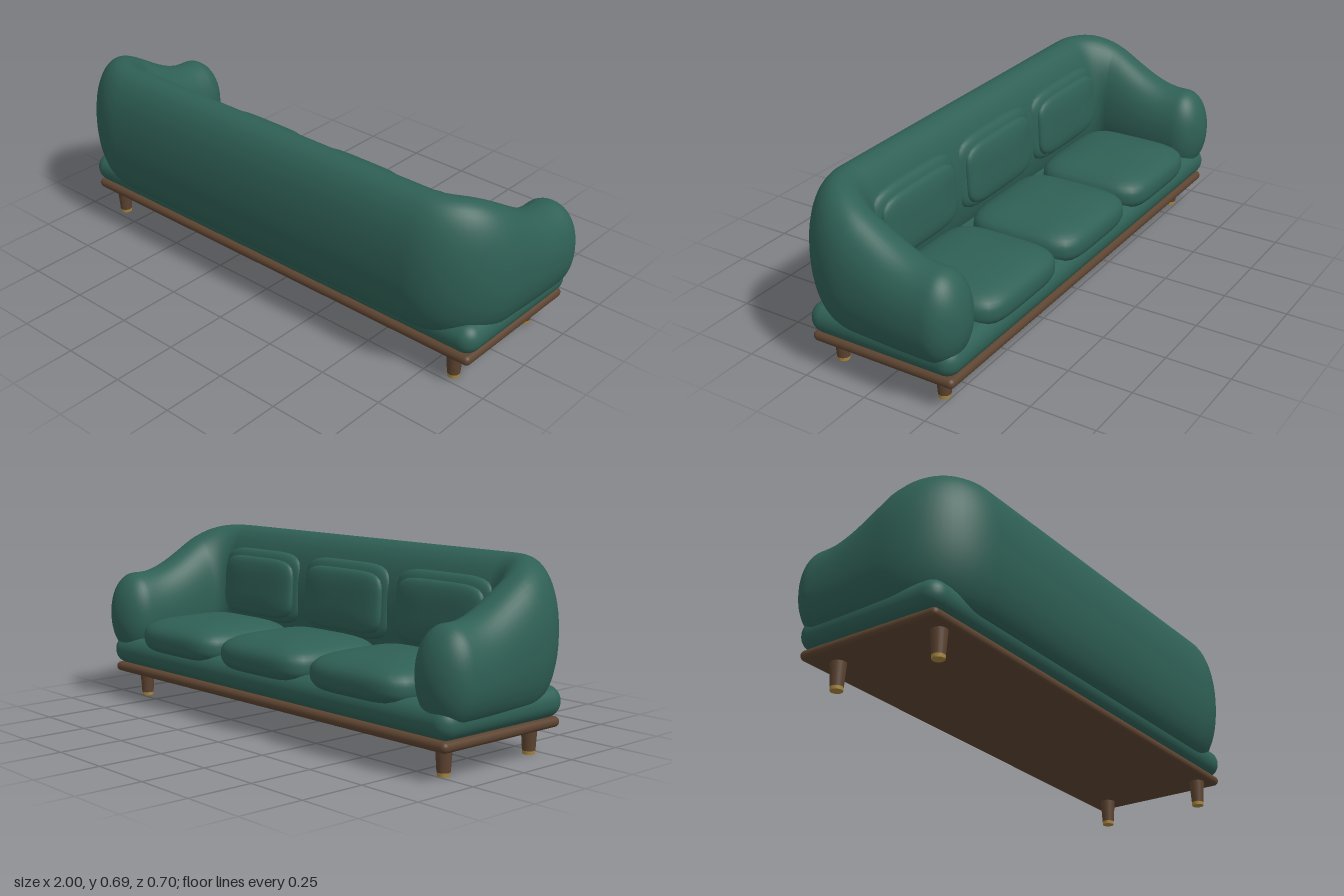
import * as THREE from 'three';
import { mergeVertices } from 'three/addons/utils/BufferGeometryUtils.js';
import { RoundedBoxGeometry } from 'three/addons/geometries/RoundedBoxGeometry.js';

const fabric = new THREE.MeshStandardMaterial({ name: 'green fabric', color: 0x2f6055 });
const wood = new THREE.MeshStandardMaterial({ name: 'walnut wood', color: 0x5c4330 });
const brass = new THREE.MeshStandardMaterial({ name: 'brass', color: 0xa8863f });

// Puffy cushion: a sphere swollen toward a rounded box, y is its thickness
function pillow(w, t, d, planPower, sidePower) {
  const geo = new THREE.SphereGeometry(1, 56, 28);
  geo.deleteAttribute('uv');
  geo.deleteAttribute('normal');
  const pos = geo.attributes.position;
  for (let i = 0; i < pos.count; i++) {
    const x = pos.getX(i), y = pos.getY(i), z = pos.getZ(i);
    const r = Math.hypot(x, z);
    const side = (r ** sidePower + Math.abs(y) ** sidePower) ** (-1 / sidePower);
    let plan = 1;
    if (r > 1e-6) plan = (Math.abs(x / r) ** planPower + Math.abs(z / r) ** planPower) ** (-1 / planPower);
    pos.setXYZ(i, x * side * plan * w / 2, y * side * t / 2, z * side * plan * d / 2);
  }
  const merged = mergeVertices(geo, 1e-5);
  merged.computeVertexNormals();
  return merged;
}

// U-shaped shell: oval sections swept along arm, corner, back, corner, arm
function shellGeometry() {
  const armX = 0.883, backZ = 0.233, cornerR = 0.17, capZ = -0.245, cap = 0.1;
  const halfWidth = 0.117, bottom = 0.17;
  const half = [];
  for (let i = 0; i <= 12; i++) {
    const a = (i / 12) * Math.PI / 2;
    half.push({ x: armX, z: capZ - cap * Math.cos(a), nx: 1, nz: 0, s: Math.sin(a) });
  }
  const cornerZ = backZ - cornerR;
  for (let i = 1; i <= 12; i++) {
    half.push({ x: armX, z: capZ + (cornerZ - capZ) * i / 12, nx: 1, nz: 0, s: 1 });
  }
  for (let i = 1; i <= 14; i++) {
    const a = (i / 14) * Math.PI / 2, nx = Math.cos(a), nz = Math.sin(a);
    half.push({ x: armX - cornerR + cornerR * nx, z: cornerZ + cornerR * nz, nx, nz, s: 1 });
  }
  const path = [...half, ...half.map(p => ({ ...p, x: -p.x, nx: -p.nx })).reverse()];

  const N = 48, verts = [], index = [];
  const soft = v => Math.sign(v) * Math.abs(v) ** 0.93;
  path.forEach((p, i) => {
    // the top line eases from the high back down to the low arms
    const t = THREE.MathUtils.clamp((backZ - p.z) / 0.453, 0, 1);
    const top = 0.692 - 0.179 * (1 - Math.cos(t * Math.PI)) / 2;
    const midY = (top + bottom) / 2, halfHeight = (top - bottom) / 2;
    for (let j = 0; j < N; j++) {
      const a = (j / N) * Math.PI * 2;
      const out = soft(Math.cos(a)) * halfWidth * p.s;
      verts.push(p.x + p.nx * out, midY + soft(Math.sin(a)) * halfHeight * p.s, p.z + p.nz * out);
      if (i < path.length - 1) {
        const k = (j + 1) % N, A = i * N + j, B = i * N + k;
        index.push(A, B, B + N, A, B + N, A + N);
      }
    }
  });
  const geo = new THREE.BufferGeometry();
  geo.setAttribute('position', new THREE.Float32BufferAttribute(verts, 3));
  geo.setIndex(index);
  const merged = mergeVertices(geo, 1e-5);
  merged.computeVertexNormals();
  return merged;
}

export function createModel() {
  const sofa = new THREE.Group();
  sofa.name = 'sofa';
  const add = (name, geo, mat, x, y, z, tilt = 0) => {
    const mesh = new THREE.Mesh(geo, mat);
    mesh.name = name;
    mesh.position.set(x, y, z);
    mesh.rotation.x = tilt;
    sofa.add(mesh);
  };

  // Base
  add('plinth', new RoundedBoxGeometry(1.88, 0.038, 0.585, 5, 0.0185), wood, 0, 0.121, -0.027);
  add('basePad', new RoundedBoxGeometry(1.91, 0.115, 0.606, 8, 0.056), fabric, 0, 0.194, -0.027);

  // Wrapping back and arms
  add('shell', shellGeometry(), fabric, 0, 0, 0);

  // Three seat places
  const seat = pillow(0.49, 0.17, 0.46, 5, 2.7);
  const backFrame = pillow(0.475, 0.085, 0.29, 5, 3);
  const backPanel = pillow(0.425, 0.07, 0.24, 5, 3);
  for (const x of [-0.507, 0, 0.507]) {
    add('seatCushion', seat, fabric, x, 0.275, -0.12);
    add('backCushion', backFrame, fabric, x, 0.465, 0.135, Math.PI / 2 + 0.06);
    add('backCushionPanel', backPanel, fabric, x, 0.462, 0.108, Math.PI / 2 + 0.06);
  }

  // Tapered legs with metal tips
  const leg = new THREE.CylinderGeometry(0.03, 0.0235, 0.095, 24);
  const tip = new THREE.CylinderGeometry(0.0235, 0.0225, 0.013, 24);
  for (const x of [-0.847, 0.847]) {
    for (const z of [0.208, -0.223]) {
      add('leg', leg, wood, x, 0.0605, z);
      add('legTip', tip, brass, x, 0.0065, z);
    }
  }
  return sofa;
}
